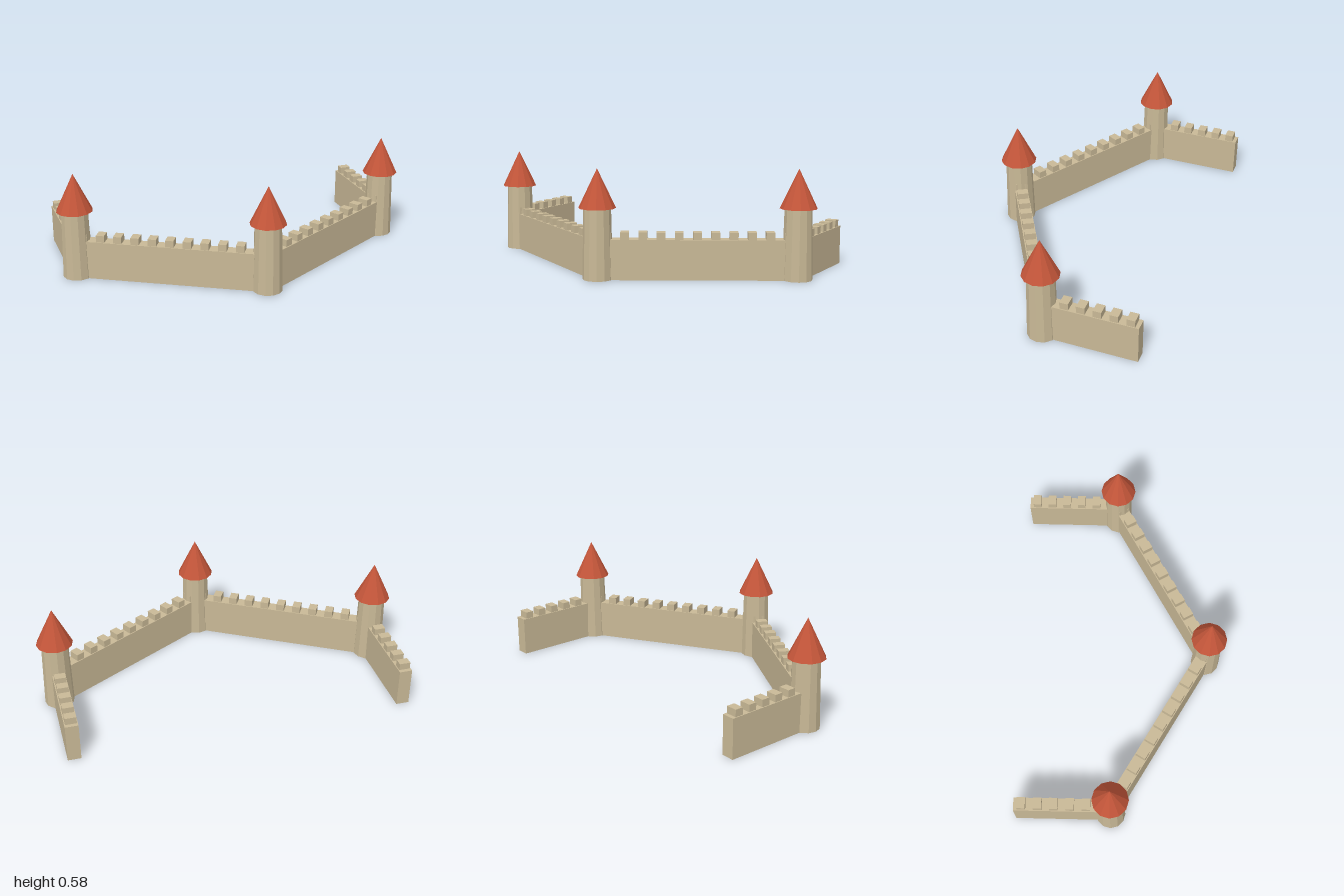
import * as THREE from 'three';

export function createModel() {
  const group = new THREE.Group();
  const stone = new THREE.MeshStandardMaterial({ color: 0xc8b896, flatShading: true });
  stone.name = 'sandstone';
  const tile = new THREE.MeshStandardMaterial({ color: 0xc4563a, flatShading: true });
  tile.name = 'red roof tile';

  function add(parent, name, geometry, material, x, y, z) {
    const mesh = new THREE.Mesh(geometry, material);
    mesh.name = name;
    mesh.position.set(x, y, z);
    parent.add(mesh);
  }

  // Slightly tapered round tower with an overhanging conical roof
  const bodyHeight = 0.375, roofHeight = 0.205;
  function addTower(name, x, z) {
    const tower = new THREE.Group();
    tower.name = name;
    tower.position.set(x, 0, z);
    add(tower, 'towerBody', new THREE.CylinderGeometry(0.072, 0.08, bodyHeight, 12), stone, 0, bodyHeight / 2, 0);
    add(tower, 'towerRoof', new THREE.ConeGeometry(0.098, roofHeight, 12), tile, 0, bodyHeight + roofHeight / 2, 0);
    group.add(tower);
  }

  // Straight wall between two ground points, with evenly spaced merlons on top
  const wallHeight = 0.212, merlonHeight = 0.038;
  function addWall(name, [x1, z1], [x2, z2], merlons) {
    const length = Math.hypot(x2 - x1, z2 - z1);
    const wall = new THREE.Group();
    wall.name = name;
    wall.position.set((x1 + x2) / 2, 0, (z1 + z2) / 2);
    wall.rotation.y = Math.atan2(x2 - x1, z2 - z1);
    add(wall, 'wallBody', new THREE.BoxGeometry(0.07, wallHeight, length), stone, 0, wallHeight / 2, 0);
    const merlon = new THREE.BoxGeometry(0.06, merlonHeight, 0.045);
    for (let i = 0; i < merlons; i++) {
      const z = ((i + 0.5) / merlons - 0.5) * length;
      add(wall, 'merlon', merlon, stone, 0, wallHeight + merlonHeight / 2, z);
    }
    group.add(wall);
  }

  const front = [0, 0.47];
  addTower('frontTower', ...front);
  for (const [side, s] of [['left', 1], ['right', -1]]) {
    const corner = [s * 0.9, -0.05];
    addTower(side + 'Tower', ...corner);
    addWall(side + 'FrontWall', front, corner, 11);
    addWall(side + 'SideWall', corner, [s * 0.9, -0.57], 6);
  }
  return group;
}
